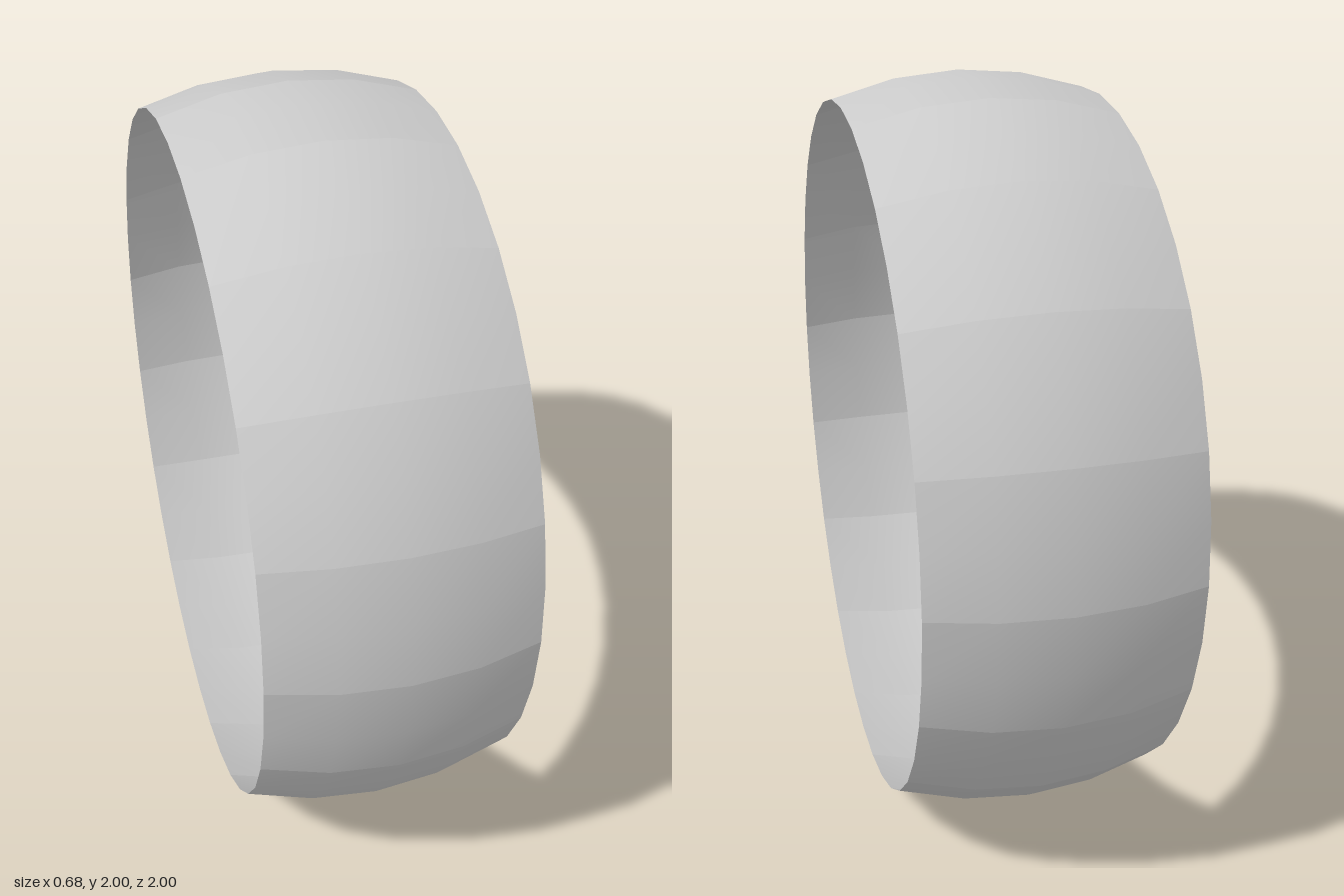
import * as THREE from 'three';
import { mergeGeometries } from 'three/addons/utils/BufferGeometryUtils.js';

const PANELS = 18;        // creased panels around the ring
const RADIUS = 1;         // outer radius at the crown
const HALF_WIDTH = 0.34;

export function createModel() {
  const group = new THREE.Group();
  group.name = 'ring';

  // Crowned cross-section: a shallow arc lying on a sphere
  const edge = Math.asin(HALF_WIDTH / RADIUS);
  const profile = [-1, -0.5, 0, 0.5, 1].map((t) =>
    new THREE.Vector2(RADIUS * Math.cos(t * edge), RADIUS * Math.sin(t * edge)));

  // Each panel is smooth inside and creased against its neighbours
  const step = (Math.PI * 2) / PANELS;
  const panels = [];
  for (let i = 0; i < PANELS; i++) {
    const panel = new THREE.LatheGeometry(profile, 2, i * step, step);
    panel.computeVertexNormals();
    panels.push(panel);
  }

  // Lay the axis along x and stand the ring on the ground
  const geometry = mergeGeometries(panels);
  geometry.rotateZ(Math.PI / 2);
  geometry.translate(0, RADIUS, 0);

  const band = new THREE.Mesh(geometry, new THREE.MeshStandardMaterial({
    color: 0xcccccc, side: THREE.DoubleSide,
  }));
  band.name = 'band';
  group.add(band);
  return group;
}
